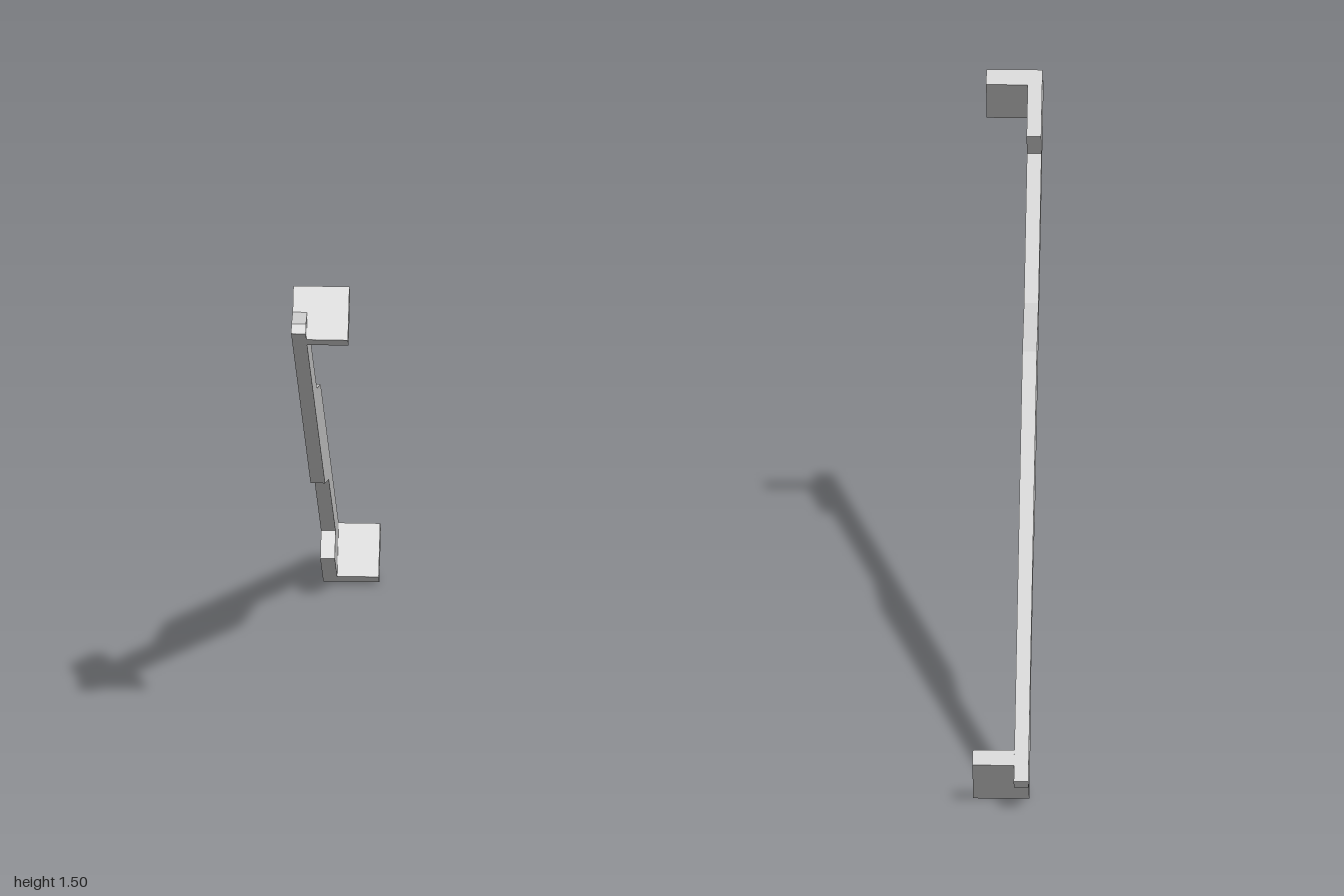
import * as THREE from 'three';

const MID_Y = 0.748; // centre of the two-fold symmetry

// Extrudes a (z, y) outline along x, from xMax down by depth
function slab(name, points, xMax, depth, material) {
  const shape = new THREE.Shape(points.map(([z, y]) => new THREE.Vector2(z, y)));
  const geometry = new THREE.ExtrudeGeometry(shape, { depth, bevelEnabled: false });
  geometry.rotateY(-Math.PI / 2).translate(xMax, 0, 0);
  const mesh = new THREE.Mesh(geometry, material);
  mesh.name = name;
  return mesh;
}

// Half-turn of an outline about the centre
const halfTurn = (points) => points.map(([z, y]) => [-z, 2 * MID_Y - y]);

export function createModel() {
  const group = new THREE.Group();
  group.name = 'slantedBracket';
  const material = new THREE.MeshStandardMaterial({ color: 0xcccccc, flatShading: true });

  // Flat bar: one half of its edge, from the middle bulge to the upper tip
  const upperHalf = [
    [0.13, 0.938], [0.345, 1.007], [0.74, 1.302], [0.693, 1.364], [0.87, 1.496],
    [0.913, 1.437], [0.984, 1.43], [1.0, 1.408],
  ];
  group.add(slab('bar', [...upperHalf, ...halfTurn(upperHalf)], -0.036, 0.039, material));

  // End flanges standing out sideways from the bar
  const flange = [[0.87, 1.496], [0.83, 1.466], [0.918, 1.346], [0.958, 1.376]];
  group.add(slab('upperFlange', flange, 0.075, 0.111, material));
  group.add(slab('lowerFlange', halfTurn(flange), 0.075, 0.111, material));

  return group;
}
